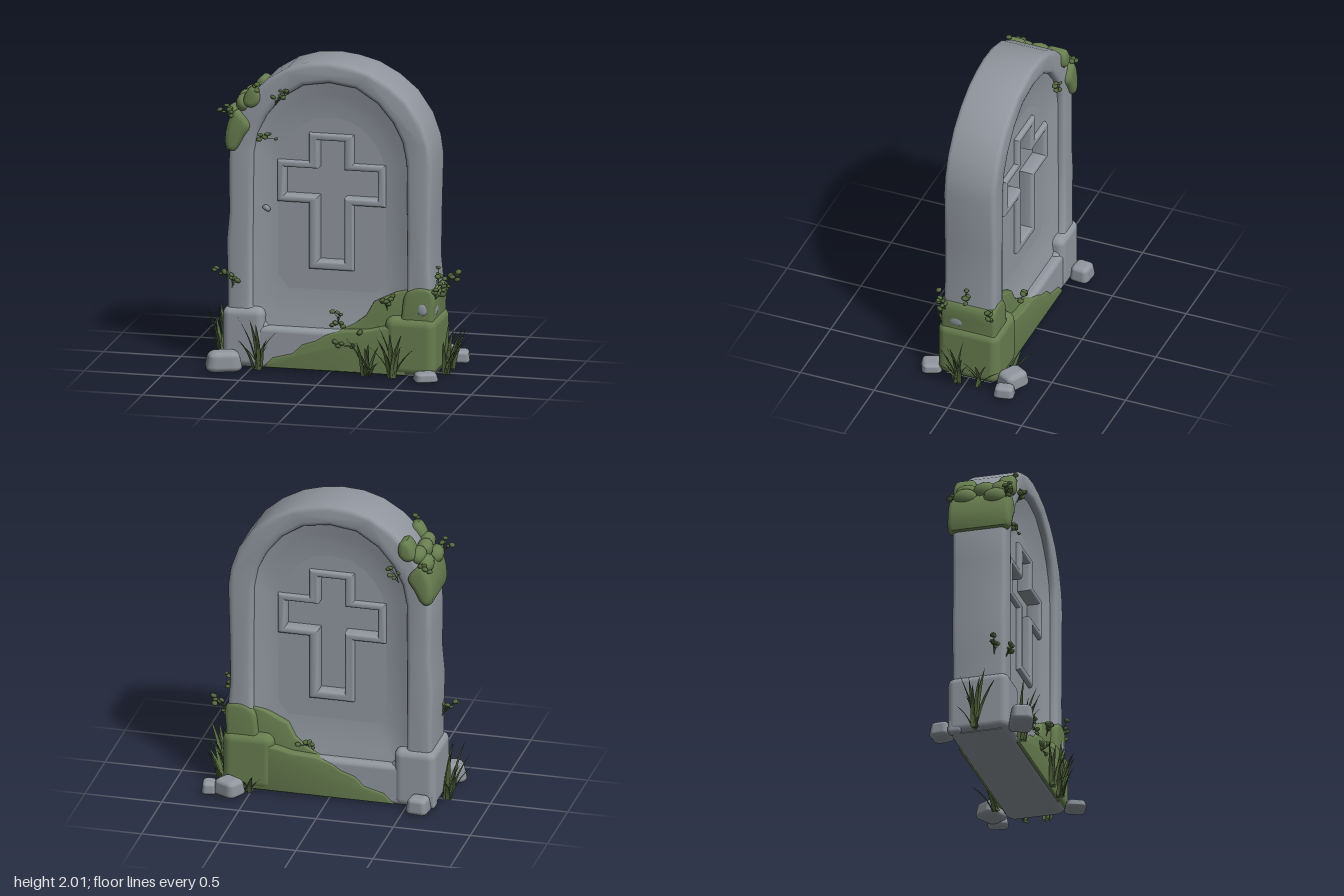
import * as THREE from 'three';
import { toCreasedNormals } from 'three/addons/utils/BufferGeometryUtils.js';
import { RoundedBoxGeometry } from 'three/addons/geometries/RoundedBoxGeometry.js';

const material = (name, color, side = THREE.FrontSide) => {
  const m = new THREE.MeshStandardMaterial({ color, side });
  m.name = name;
  return m;
};

export function createModel() {
  const stone = material('stone grey', 0x91979f);
  const moss = material('moss green', 0x687e50);
  const leaf = material('leaf green', 0x54693f, THREE.DoubleSide);
  const root = new THREE.Group();
  root.name = 'mossyHeadstone';

  let seed = 11;
  const rand = (a, b) => {
    seed = (seed * 16807) % 2147483647;
    return a + (b - a) * (seed / 2147483647);
  };
  const add = (name, geo, mat, parent = root) => {
    const mesh = new THREE.Mesh(geo, mat);
    mesh.name = name;
    parent.add(mesh);
    return mesh;
  };
  const shapeOf = (pts) => new THREE.Shape(pts.map(([x, y]) => new THREE.Vector2(x, y)));
  // Closed outline rounded through the given points
  const soft = (pts) => new THREE.CatmullRomCurve3(
    pts.map(([x, y]) => new THREE.Vector3(x, y, 0)), true,
  ).getPoints(pts.length * 3).slice(0, -1).map((p) => [p.x, p.y]);
  // Bevelled slab whose final outline is pts, running from z0 to z1
  const slab = (pts, z0, z1, bevel, hole) => {
    const shape = shapeOf(pts);
    if (hole) shape.holes.push(shapeOf(hole));
    const geo = new THREE.ExtrudeGeometry(shape, {
      depth: z1 - z0 - 2 * bevel, bevelThickness: bevel, bevelSize: bevel,
      bevelOffset: -bevel, bevelSegments: 3,
    });
    geo.translate(0, 0, z0 + bevel);
    return toCreasedNormals(geo, 0.7);
  };
  const block = (name, x0, x1, y0, y1, z, mat, r = 0.035) => {
    const m = add(name, new RoundedBoxGeometry(x1 - x0, y1 - y0, 2 * z, 3, r), mat);
    m.position.set((x0 + x1) / 2, (y0 + y1) / 2, 0);
  };

  // Arched frame, worn a little along its outline
  const outer = [
    [-0.66, 0], [0.66, 0], [0.66, 0.6], [0.648, 0.72], [0.652, 1.0], [0.662, 1.38], [0.645, 1.5],
    [0.595, 1.64], [0.5, 1.78], [0.38, 1.88], [0.25, 1.95], [0.12, 1.985], [0, 2], [-0.14, 1.99],
    [-0.27, 1.95], [-0.4, 1.87], [-0.5, 1.77], [-0.6, 1.62], [-0.65, 1.45], [-0.655, 1.2],
    [-0.65, 1.0], [-0.668, 0.8], [-0.66, 0.55],
  ];
  const inner = [
    [-0.4, 0.27], [0.4, 0.27], [0.5, 0.39], [0.5, 0.9], [0.495, 1.38], [0.47, 1.51], [0.41, 1.63],
    [0.31, 1.75], [0.17, 1.84], [0, 1.865], [-0.17, 1.84], [-0.31, 1.75], [-0.41, 1.63],
    [-0.47, 1.51], [-0.495, 1.38], [-0.5, 0.9], [-0.5, 0.39],
  ];
  add('archedFrame', slab(outer, -0.174, 0.174, 0.03, inner), stone);
  block('plinth', -0.67, 0.67, 0, 0.27, 0.19, stone);
  block('leftCornerBlock', -0.69, -0.42, 0, 0.385, 0.2, stone, 0.05);

  // Shallow hollowed panel with a framed sunken cross, the same on both faces
  const cross = (w, y0, y1, arm, a0, a1) => [
    [-w, y0], [w, y0], [w, a0], [arm, a0], [arm, a1], [w, a1],
    [w, y1], [-w, y1], [-w, a1], [-arm, a1], [-arm, a0], [-w, a0],
  ];
  const crossOuter = cross(0.145, 0.645, 1.525, 0.35, 1.07, 1.34);
  const crossInner = cross(0.085, 0.7, 1.48, 0.3, 1.115, 1.295);
  const scaled = (s) => inner.map(([x, y]) => [x * s, 1.07 + (y - 1.07) * s]);
  const rings = [[1.02, 0.136], [0.9, 0.116], [0.8, 0.103], [0.7, 0.097]];
  const pos = [], index = [], n = inner.length;
  rings.forEach(([s, z]) => scaled(s).forEach(([x, y]) => pos.push(x, y, z)));
  for (let r = 0; r < rings.length - 1; r++) {
    for (let i = 0; i < n; i++) {
      const a = r * n + i, b = r * n + ((i + 1) % n);
      index.push(a, b, b + n, a, b + n, a + n);
    }
  }
  const dish = new THREE.BufferGeometry();
  dish.setAttribute('position', new THREE.Float32BufferAttribute(pos, 3));
  dish.setIndex(index);
  dish.computeVertexNormals();
  const floorShape = shapeOf(scaled(0.7));
  floorShape.holes.push(shapeOf(crossInner));
  for (const side of ['front', 'back']) {
    const face = new THREE.Group();
    face.name = side + 'Panel';
    if (side === 'back') face.rotation.y = Math.PI;
    add('panelSlope', dish, stone, face);
    add('panelFloor', new THREE.ShapeGeometry(floorShape), stone, face).position.z = 0.097;
    add('crossFrame', slab(crossOuter, 0.02, 0.126, 0.018, crossInner), stone, face);
    add('crossFloor', new THREE.ShapeGeometry(shapeOf(crossInner)), stone, face).position.z = 0.04;
    root.add(face);
  }

  // Moss creeping up the lower corner
  block('mossyCornerBlock', 0.36, 0.692, 0.005, 0.385, 0.208, moss, 0.06);
  add('plinthMoss', slab([
    [-0.42, 0.01], [0.5, 0.01], [0.5, 0.33], [0.34, 0.31], [0.24, 0.285], [0.08, 0.275], [-0.02, 0.24],
    [-0.08, 0.2], [-0.17, 0.17], [-0.23, 0.11], [-0.36, 0.075],
  ], -0.2, 0.2, 0.012), moss);
  add('panelMoss', slab([
    [0.05, 0.26], [0.52, 0.26], [0.52, 0.56], [0.42, 0.53], [0.36, 0.5], [0.28, 0.46], [0.23, 0.37], [0.15, 0.31],
  ], -0.145, 0.145, 0.012), moss);
  add('pillarMoss', slab(soft([
    [0.47, 0.3], [0.66, 0.3], [0.672, 0.4], [0.672, 0.55], [0.62, 0.58], [0.55, 0.575], [0.49, 0.53], [0.47, 0.42],
  ]), -0.185, 0.185, 0.025), moss);

  // Moss pads hanging over the upper shoulder
  add('lowerShoulderMoss', slab(soft([
    [-0.665, 1.41], [-0.61, 1.395], [-0.55, 1.49], [-0.51, 1.56], [-0.54, 1.62], [-0.6, 1.66], [-0.655, 1.58],
  ]), -0.205, 0.205, 0.035), moss);
  const upperPad = soft([[-0.55, 1.7], [-0.5, 1.68], [-0.45, 1.72], [-0.455, 1.8], [-0.5, 1.82], [-0.55, 1.75]]);
  add('upperShoulderMoss', slab(upperPad, 0.09, 0.2, 0.03), moss);
  add('upperShoulderMoss', slab(upperPad, -0.2, -0.06, 0.03), moss);
  for (const [x, y, z] of [[-0.62, 1.63, 0.1], [-0.61, 1.65, -0.1], [-0.57, 1.7, 0.02], [-0.56, 1.7, 0.12], [-0.56, 1.7, -0.1]]) {
    const m = add('mossCushion', new THREE.SphereGeometry(0.065, 12, 8), moss);
    m.position.set(x, y, z);
    m.scale.set(0.8, 0.9, 1.2);
  }

  // Loose rocks and chips: x, y, z, width, height, depth, turn
  [
    [-0.655, 0.06, 0.28, 0.24, 0.13, 0.16, 0.35], [-0.6, 0.055, -0.255, 0.15, 0.11, 0.14, -0.1],
    [0.62, 0.055, -0.285, 0.19, 0.11, 0.16, -0.5], [0.75, 0.04, -0.28, 0.1, 0.08, 0.14, 0.2],
    [0.645, 0.03, 0.255, 0.16, 0.06, 0.14, 0.4], [-0.66, 0.05, -0.15, 0.06, 0.1, 0.1, 0],
    [-0.415, 1.025, 0.125, 0.06, 0.035, 0.03, 0], [0.605, 0.44, 0.178, 0.07, 0.08, 0.03, 0],
    [0.665, 0.43, 0.08, 0.03, 0.08, 0.11, 0],
  ].forEach(([x, y, z, w, h, d, turn], i) => {
    const geo = new RoundedBoxGeometry(1, 1, 1, 3, i < 6 ? 0.27 : 0.45);
    const p = geo.attributes.position;
    for (let k = 0; k < p.count; k++) { // narrow the top
      const t = 1 - 0.22 * (p.getY(k) + 0.5);
      p.setX(k, p.getX(k) * t);
      p.setZ(k, p.getZ(k) * t);
    }
    const m = add(i < 6 ? 'rock' : 'stoneChip', geo, stone);
    m.position.set(x, y, z);
    m.scale.set(w, h, d);
    m.rotation.y = turn;
    if (i === 6) m.rotation.z = -0.5;
  });

  // Bent, folded, tapering grass blade leaning towards +x
  const blade = (h, lean, w) => {
    const v = [], f = [], steps = 5;
    for (let i = 0; i <= steps; i++) {
      const t = i / steps, half = w * (0.55 + t) * (1 - t);
      const x = lean * t * (0.4 + 0.6 * t), y = h * t * (1 - 0.12 * t);
      v.push(x + half * 0.3, y, -half, x, y, 0, x + half * 0.3, y, half);
      if (i < steps) for (const k of [0, 1]) {
        const a = i * 3 + k;
        f.push(a, a + 1, a + 4, a, a + 4, a + 3);
      }
    }
    const g = new THREE.BufferGeometry();
    g.setAttribute('position', new THREE.Float32BufferAttribute(v, 3));
    g.setIndex(f);
    g.computeVertexNormals();
    return g;
  };
  // Tufts: x, z, facing angle, spread, blades, height
  [
    [-0.72, 0.0, Math.PI, 1.4, 11, 0.4], [-0.45, 0.22, -1.57, 1.4, 11, 0.37],
    [0.25, 0.22, -1.57, 1.4, 9, 0.26], [0.42, 0.22, -1.57, 1.4, 11, 0.36],
    [0.72, 0.05, 0, 1.4, 12, 0.38], [0.72, -0.1, 0.3, 1.2, 6, 0.25], [0.52, -0.22, 1.9, 1, 5, 0.18],
  ].forEach(([x, z, dir, spread, count, height]) => {
    const tuft = new THREE.Group();
    tuft.name = 'grassTuft';
    tuft.position.set(x, 0, z);
    for (let i = 0; i < count; i++) {
      const m = add('grassBlade', blade(height * rand(0.45, 1.1), rand(0.06, 0.16), 0.024), leaf, tuft);
      m.rotation.y = dir + spread * (2 * i / (count - 1) - 1);
      m.position.set(rand(-0.02, 0.02), 0, rand(-0.02, 0.02));
    }
    root.add(tuft);
  });

  // Sprigs of small round leaves on curved stems: x, y, z, outward x, outward z, height, leaves, scatter
  [
    [-0.65, 0.5, 0.1, -0.06, 0.02, 0.13, 8, 0.05], [-0.63, 0.5, 0.17, 0.03, 0.03, 0.08, 4, 0.03],
    [0.66, 0.48, 0.14, 0.06, 0.03, 0.14, 9, 0.05], [0.66, 0.46, -0.14, 0.06, -0.03, 0.14, 9, 0.05],
    [0.66, 0.57, 0.01, 0.03, 0, 0.09, 7, 0.04], [0.37, 0.41, 0.145, 0, 0.03, 0.09, 9, 0.04],
    [-0.63, 1.58, 0.17, -0.03, 0.02, 0.08, 8, 0.05], [-0.35, 1.7, 0.165, 0.03, 0.02, 0.1, 8, 0.05],
    [-0.45, 1.49, 0.16, 0.06, 0.01, 0.03, 7, 0.06], [-0.49, 1.77, 0.17, 0.01, 0.02, 0.07, 4, 0.03],
    [-0.62, 1.6, -0.17, -0.03, -0.02, 0.08, 7, 0.05], [-0.45, 1.52, -0.16, 0.05, -0.01, 0.06, 5, 0.05],
    [0.05, 0.31, 0.145, 0.03, 0.015, 0.03, 8, 0.09], [0.08, 0.18, 0.195, 0.02, 0.01, 0.02, 7, 0.07],
    [0.22, 0.27, 0.195, 0, 0.01, 0.02, 2, 0.02], [0.1, 0.32, -0.145, 0.05, -0.015, 0.03, 6, 0.05],
  ].forEach(([x, y, z, ox, oz, h, count, scatter]) => {
    const sprig = new THREE.Group();
    sprig.name = 'leafySprig';
    sprig.position.set(x, y, z);
    for (let i = 0; i < count; i++) {
      const t = rand(0.35, 1.2);
      const tip = new THREE.Vector3(
        ox * t + rand(-scatter, scatter), h * t + rand(-0.6, 0.6) * scatter, oz * t + rand(-0.012, 0.012));
      const mid = new THREE.Vector3(ox * 0.35, tip.y * 0.6, oz * 0.5);
      const path = new THREE.QuadraticBezierCurve3(new THREE.Vector3(), mid, tip);
      add('stem', new THREE.TubeGeometry(path, 4, 0.002, 3), leaf, sprig);
      const m = add('roundLeaf', new THREE.SphereGeometry(rand(0.013, 0.023), 8, 6), leaf, sprig);
      m.position.copy(tip);
      m.scale.y = 0.65;
      m.rotation.set(rand(-0.5, 0.5), 0, rand(-0.5, 0.5));
    }
    root.add(sprig);
  });

  return root;
}
